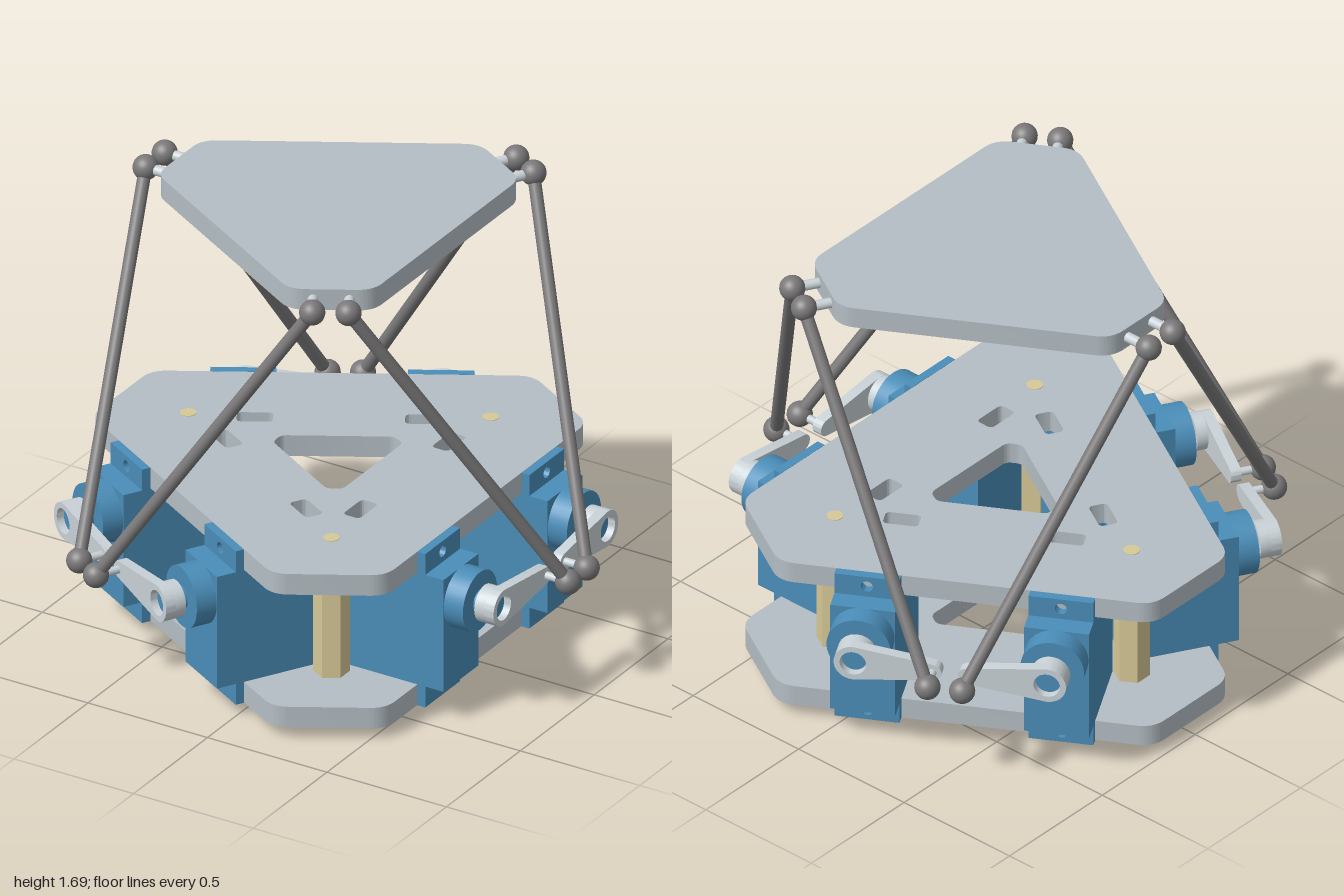
import * as THREE from 'three';
import { toCreasedNormals } from 'three/addons/utils/BufferGeometryUtils.js';

const mat = (name, color) => Object.assign(new THREE.MeshStandardMaterial({ color }), { name });

const AXIS_Y = 0.465;   // height of the servo shafts
const TOP_Y = 1.643;    // height of the upper ball joints
const SERVO_Z = 0.352;  // sideways offset of each servo from the middle of its edge

export function createModel() {
  const alloy = mat('brushed alloy', 0xb4bec4);
  const blue = mat('servo blue', 0x4a8db8);
  const brass = mat('brass', 0xd6c896);
  const steel = mat('dark steel', 0x7a7878);
  const rubber = mat('foot rubber', 0x555452);
  const pale = mat('pale horn metal', 0xc9d2d7);

  const model = new THREE.Group();
  model.name = 'sixLegPlatform';
  model.position.x = -0.077;

  const add = (parent, name, geometry, material, x = 0, y = 0, z = 0) => {
    const mesh = new THREE.Mesh(geometry, material);
    mesh.name = name;
    mesh.position.set(x, y, z);
    parent.add(mesh);
    return mesh;
  };

  // Closed outline with rounded corners
  const rounded = (points, r, path = new THREE.Shape()) => {
    const n = points.length;
    points.forEach((p, i) => {
      const toward = (q) => p.clone().add(q.clone().sub(p).setLength(r));
      const a = toward(points[(i + n - 1) % n]);
      const b = toward(points[(i + 1) % n]);
      if (i === 0) path.moveTo(a.x, a.y); else path.lineTo(a.x, a.y);
      path.quadraticCurveTo(p.x, p.y, b.x, b.y);
    });
    path.closePath();
    return path;
  };

  // Triangle with cut corners: long edges at distance d1, short edges at d2
  const hexagon = (d1, d2) => {
    const h = (d2 - d1 / 2) / Math.sin(Math.PI / 3);
    const points = [];
    for (let i = 0; i < 3; i++) {
      for (const s of [-1, 1]) {
        points.push(new THREE.Vector2(d1, s * h).rotateAround(new THREE.Vector2(), i * Math.PI * 2 / 3));
      }
    }
    return points;
  };

  const circle = (x, y, r) => new THREE.Path().absarc(x, y, r, 0, Math.PI * 2, true);
  const extrude = (shape, depth) => toCreasedNormals(
    new THREE.ExtrudeGeometry(shape, { depth, bevelEnabled: false, curveSegments: 16 }), 0.5);

  const plate = (name, d1, d2, r, y, height, holes) => {
    const shape = rounded(hexagon(d1, d2), r);
    shape.holes.push(...holes);
    add(model, name, extrude(shape, height).rotateX(-Math.PI / 2), alloy, 0, y, 0);
  };

  // Base plates with a central opening; the upper one also has cable slots
  const opening = () => rounded(hexagon(0.15, 0.25), 0.022, new THREE.Path());
  const slots = [];
  for (let i = 0; i < 3; i++) {
    for (const s of [-1, 1]) {
      const corners = [[-0.035, -0.065], [0.035, -0.065], [0.035, 0.065], [-0.035, 0.065]];
      slots.push(rounded(corners.map(([x, y]) => new THREE.Vector2(0.285 + x, s * 0.3 + y)
        .rotateAround(new THREE.Vector2(), i * Math.PI * 2 / 3)), 0.02, new THREE.Path()));
    }
  }
  plate('lowerBasePlate', 0.627, 0.903, 0.06, 0.045, 0.083, [opening()]);
  plate('upperBasePlate', 0.627, 0.903, 0.06, 0.58, 0.083, [opening(), ...slots]);

  // Moving platform with a blind hole underneath
  plate('platformUnderside', 0.46, 0.66, 0.06, 1.6, 0.03, [circle(0, 0, 0.03)]);
  plate('platformTop', 0.46, 0.66, 0.06, 1.63, 0.053, []);

  // Round bar between two points
  const bar = (parent, name, a, b, r, material) => {
    const dir = b.clone().sub(a);
    const mesh = add(parent, name, new THREE.CylinderGeometry(r, r, dir.length(), 16), material);
    mesh.position.copy(a).add(b).multiplyScalar(0.5);
    mesh.quaternion.setFromUnitVectors(new THREE.Vector3(0, 1, 0), dir.normalize());
  };

  // Mounting flange with two screw holes, drawn across (x) and up (y)
  const flange = new THREE.Shape();
  flange.moveTo(-0.118, 0.045).lineTo(0.118, 0.045).lineTo(0.118, 0.663).lineTo(-0.118, 0.663);
  flange.closePath();
  flange.holes.push(circle(0, 0.085, 0.022), circle(0, 0.622, 0.022));
  const flangeGeo = extrude(flange, 0.033).rotateY(Math.PI / 2);

  // Tapered horn arm and its hollow hub
  const reach = SERVO_Z - 0.063, hubR = 0.07, tipR = 0.033;
  const a = Math.acos((hubR - tipR) / reach);
  const arm = new THREE.Shape();
  arm.absarc(0, 0, hubR, a, Math.PI * 2 - a, false);
  arm.absarc(reach, 0, tipR, -a, a, false);
  arm.closePath();
  arm.holes.push(circle(0, 0, 0.048));
  const armGeo = extrude(arm, 0.04).rotateY(Math.PI / 2);
  const ring = new THREE.Shape().absarc(0, 0, hubR, 0, Math.PI * 2, false);
  ring.holes.push(circle(0, 0, 0.048));
  const hubGeo = extrude(ring, 0.042).rotateY(Math.PI / 2);

  const alongX = (r, length) => new THREE.CylinderGeometry(r, r, length, 32).rotateZ(-Math.PI / 2);
  const ballGeo = new THREE.SphereGeometry(0.047, 24, 16);

  // One servo with horn, pin, connecting rod and ball joints; s picks the side
  const servo = (side, s) => {
    const z = s * SERVO_Z;
    add(side, 'servoBody', new THREE.BoxGeometry(0.424, 0.45, 0.236), blue, 0.525, 0.354, z);
    add(side, 'servoFlange', flangeGeo, blue, 0.628, 0, z);
    add(side, 'servoBoss', alongX(0.116, 0.08), blue, 0.777, AXIS_Y, z);
    add(side, 'servoShaft', alongX(0.046, 0.075), blue, 0.852, AXIS_Y, z);
    add(side, 'hornHub', hubGeo, pale, 0.836, AXIS_Y, z);
    const horn = add(side, 'hornArm', armGeo, pale, 0.877, AXIS_Y, z);
    if (s < 0) horn.rotation.x = Math.PI;

    const low = new THREE.Vector3(1.007, AXIS_Y, s * 0.063);
    const high = new THREE.Vector3(0.436, TOP_Y, s * 0.626);
    bar(side, 'hornPin', low.clone().setX(0.9), low, 0.015, pale);
    bar(side, 'connectingRod', low, high, 0.024, steel);
    add(side, 'lowerBall', ballGeo, steel).position.copy(low);
    add(side, 'upperBall', ballGeo, steel).position.copy(high);
  };

  // Foot: chamfered puck with a recessed centre
  const footGeo = toCreasedNormals(new THREE.LatheGeometry(
    [[0, 0.032], [0.05, 0.032], [0.05, 0], [0.155, 0], [0.19, 0.018], [0.19, 0.045], [0, 0.045]]
      .map(([x, y]) => new THREE.Vector2(x, y)), 40), 0.3);

  for (let i = 0; i < 3; i++) {
    const side = new THREE.Group();
    side.name = 'servoPair' + (i + 1);
    side.rotation.y = i * Math.PI * 2 / 3;
    model.add(side);
    servo(side, 1);
    servo(side, -1);

    // Corner opposite this edge: foot, hex standoff, screw and platform pins
    const corner = new THREE.Group();
    corner.name = 'corner' + (i + 1);
    corner.rotation.y = side.rotation.y;
    model.add(corner);
    add(corner, 'foot', footGeo, rubber, -0.622, 0, 0);
    add(corner, 'footScrew', new THREE.CylinderGeometry(0.03, 0.03, 0.012, 6), steel, -0.622, 0.03, 0);
    const post = new THREE.CylinderGeometry(0.066, 0.066, 0.455, 6).toNonIndexed();
    post.computeVertexNormals();
    add(corner, 'standoff', post, brass, -0.622, 0.354, 0);
    add(corner, 'standoffScrew', new THREE.CylinderGeometry(0.03, 0.03, 0.006, 20), brass, -0.622, 0.662, 0);
    for (const s of [-1, 1]) {
      add(corner, 'platformPin', alongX(0.019, 0.13), pale, -0.695, TOP_Y, s * 0.065);
    }
  }

  const root = new THREE.Group();
  root.name = 'model';
  root.add(model);
  return root;
}
